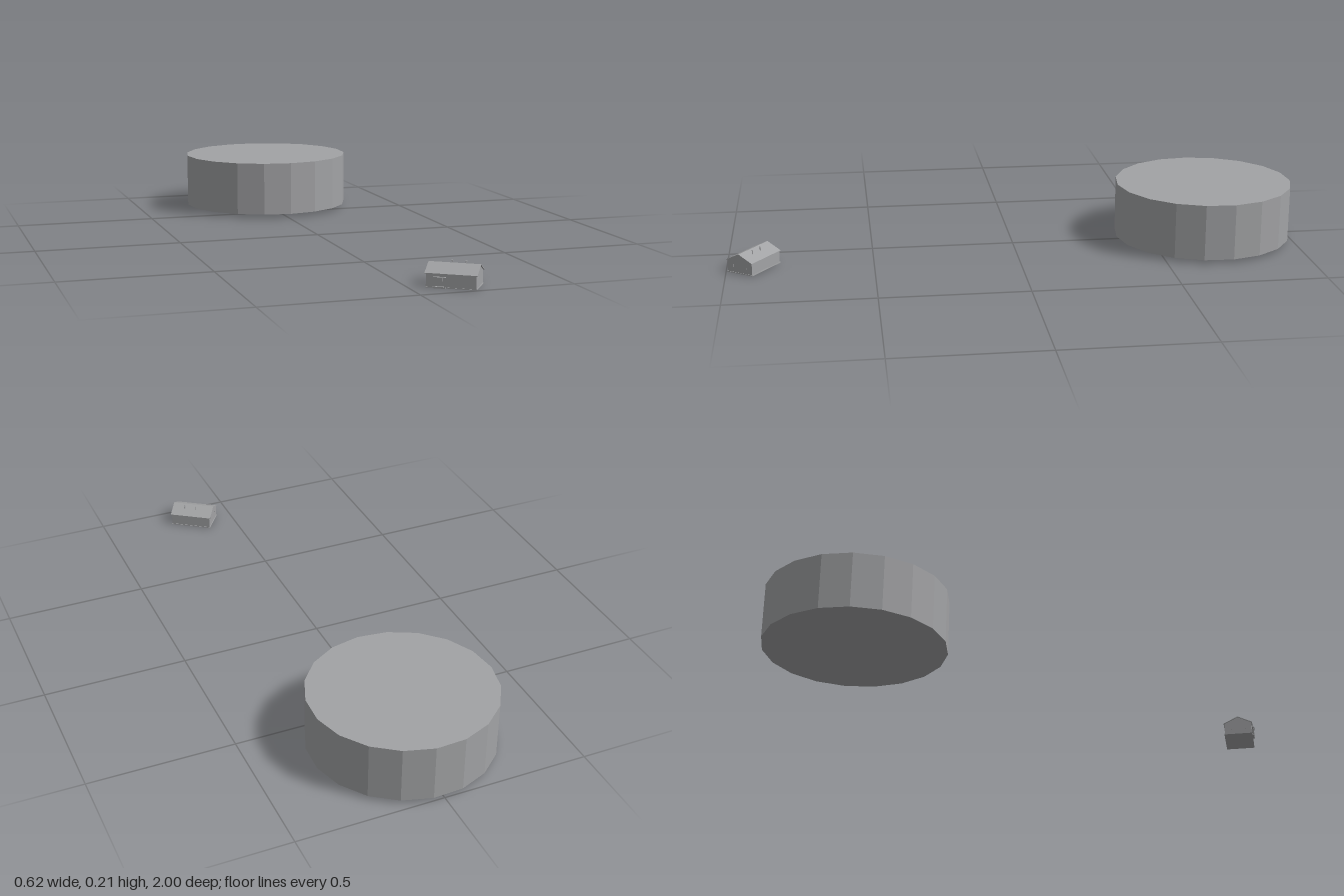
import * as THREE from 'three';

export function createModel() {
  const model = new THREE.Group();
  const grey = new THREE.MeshStandardMaterial({ color: 0xa2a3a5, flatShading: true });

  const add = (parent, name, geometry, x = 0, y = 0, z = 0) => {
    const mesh = new THREE.Mesh(geometry, grey);
    mesh.name = name;
    mesh.position.set(x, y, z);
    parent.add(mesh);
    return mesh;
  };
  const box = (parent, name, w, h, d, x, y, z) =>
    add(parent, name, new THREE.BoxGeometry(w, h, d), x, y, z);

  // Outline in (z, y), extruded along the ridge (x) and centred
  const ridgeExtrude = (points, length) => {
    const shape = new THREE.Shape(points.map(([z, y]) => new THREE.Vector2(z, y)));
    return new THREE.ExtrudeGeometry(shape, { depth: length, bevelEnabled: false })
      .translate(0, 0, -length / 2)
      .rotateY(Math.PI / 2);
  };

  // Wide faceted storage tank
  const tank = new THREE.CylinderGeometry(0.3135, 0.3135, 0.195, 19, 1, false, THREE.MathUtils.degToRad(2.5));
  add(model, 'tank', tank, 0, 0.1095, -0.689);

  // Small house, turned so its ridge runs diagonally
  const house = new THREE.Group();
  house.name = 'house';
  house.position.set(0.146, 0, 0.908);
  house.rotation.y = THREE.MathUtils.degToRad(-35);
  model.add(house);

  box(house, 'foundation', 0.158, 0.003, 0.106, 0, 0.0015, 0);
  add(house, 'walls', ridgeExtrude(
    [[-0.051, 0.002], [0.051, 0.002], [0.051, 0.043], [0, 0.0675], [-0.051, 0.043]], 0.154));
  add(house, 'roof', ridgeExtrude(
    [[-0.054, 0.042], [0, 0.0675], [0.054, 0.042], [0.054, 0.0445], [0, 0.07], [-0.054, 0.0445]], 0.162));

  // Porch with two posts in front of the door
  const porchX = -0.034;
  box(house, 'porchStep', 0.036, 0.005, 0.009, porchX, 0.0025, 0.0545);
  box(house, 'porchCanopy', 0.038, 0.0015, 0.010, porchX, 0.0338, 0.055);
  for (const side of [-1, 1])
    box(house, 'porchPost', 0.002, 0.029, 0.002, porchX + side * 0.016, 0.019, 0.057);
  box(house, 'door', 0.014, 0.028, 0.001, porchX + 0.002, 0.019, 0.0513);

  // Narrow windows on both gable ends
  for (const end of [-1, 1])
    for (const side of [-1, 1])
      box(house, 'gableWindow', 0.001, 0.014, 0.005, end * 0.0773, 0.027, side * 0.027);

  // Roof vents on the rear slope
  for (const x of [0.031, -0.012]) {
    add(house, 'ventPipe', new THREE.CylinderGeometry(0.0018, 0.0018, 0.014, 8), x, 0.065, -0.021);
    add(house, 'ventCap', new THREE.CylinderGeometry(0.003, 0.003, 0.0015, 8), x, 0.0725, -0.021);
  }

  return model;
}
